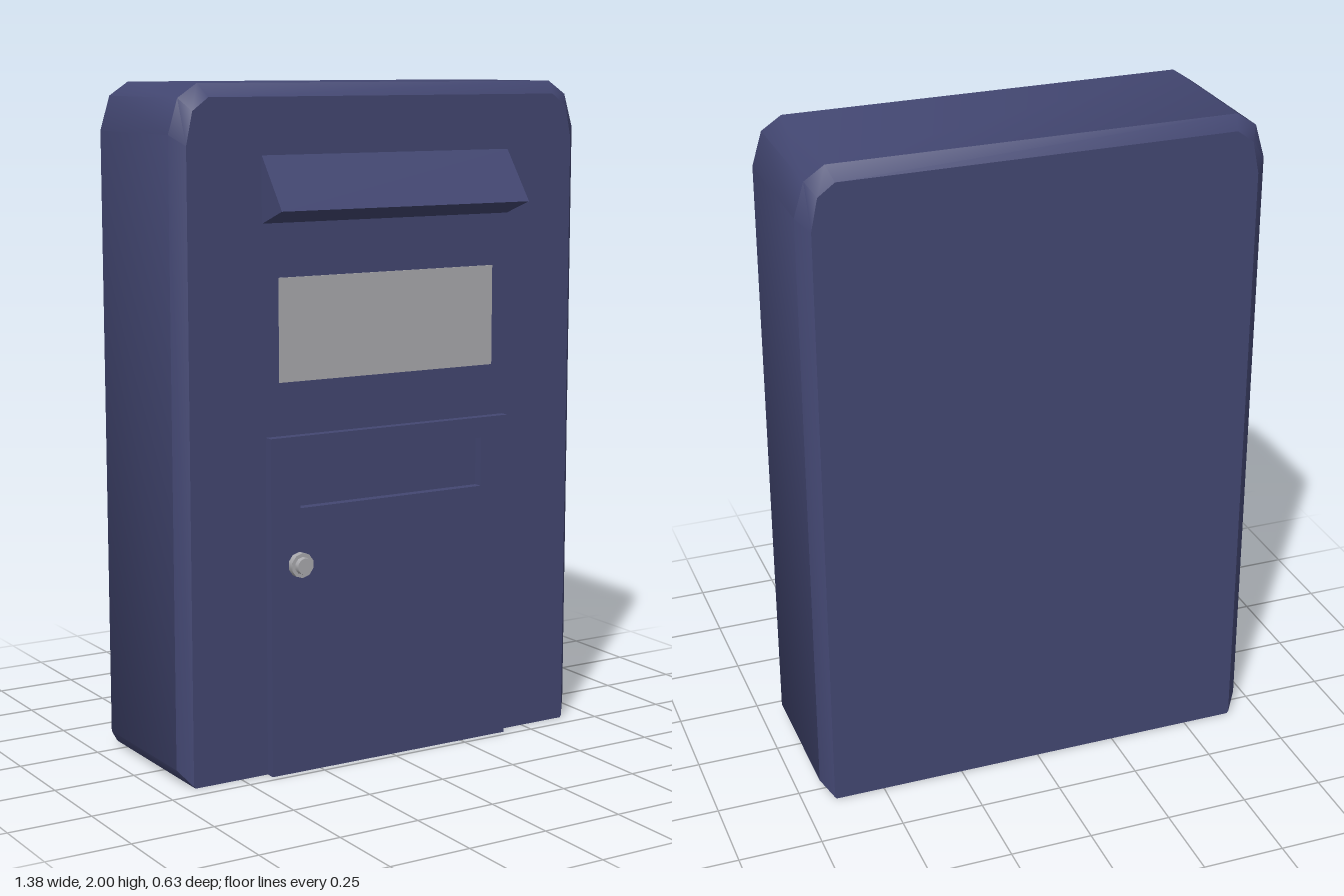
import * as THREE from 'three';
import { toCreasedNormals } from 'three/addons/utils/BufferGeometryUtils.js';

const paint = new THREE.MeshStandardMaterial({ name: 'navy paint', color: 0x434772 });
const steel = new THREE.MeshStandardMaterial({ name: 'light grey', color: 0xaaaaae });

function add(group, name, geometry, material, x = 0, y = 0, z = 0) {
  const mesh = new THREE.Mesh(geometry, material);
  mesh.name = name;
  mesh.position.set(x, y, z);
  group.add(mesh);
  return mesh;
}

// Full outline from its right half, counter-clockwise seen from the front
const mirrored = (half) => [...half, ...half.map(([x, y]) => [-x, y]).reverse()];

// Closed solid through matching outlines at rising z
function loft(sections) {
  const n = sections[0].points.length;
  const positions = [];
  const index = [];
  for (const { z, points } of sections) for (const [x, y] of points) positions.push(x, y, z);
  for (let k = 0; k < sections.length - 1; k++) {
    for (let i = 0; i < n; i++) {
      const j = (i + 1) % n;
      const a = k * n + i, b = k * n + j;
      index.push(a, b, b + n, a, b + n, a + n);
    }
  }
  // End caps
  const last = (sections.length - 1) * n;
  const back = positions.length / 3;
  positions.push(0, 1, sections[0].z, 0, 1, sections[sections.length - 1].z);
  for (let i = 0; i < n; i++) {
    const j = (i + 1) % n;
    index.push(back, j, i, back + 1, last + i, last + j);
  }
  const geometry = new THREE.BufferGeometry();
  geometry.setAttribute('position', new THREE.Float32BufferAttribute(positions, 3));
  geometry.setIndex(index);
  return toCreasedNormals(geometry, 0.72);
}

function rectangle(target, x0, y0, x1, y1) {
  target.moveTo(x0, y0);
  target.lineTo(x1, y0);
  target.lineTo(x1, y1);
  target.lineTo(x0, y1);
  target.closePath();
  return target;
}

export function createModel() {
  const model = new THREE.Group();
  model.name = 'letterbox';

  // Case with bevelled front and back edges, rounded at the top corners
  const outer = mirrored([[0.65, 0], [0.69, 0.05], [0.69, 1.86], [0.66, 1.96], [0.6, 2]]);
  const inner = mirrored([[0.65, 0], [0.655, 0.006], [0.655, 1.83], [0.635, 1.925], [0.585, 1.962]]);
  add(model, 'case', loft([
    { z: -0.315, points: inner },
    { z: -0.275, points: outer },
    { z: 0.158, points: outer },
    { z: 0.198, points: inner },
  ]), paint);

  // Wedge-shaped hood over the slot: profile in (-z, y), turned to run along x
  const wedge = new THREE.Shape([[-0.19, 1.8], [-0.2, 1.8], [-0.312, 1.65], [-0.2, 1.61], [-0.19, 1.61]]
    .map(([x, y]) => new THREE.Vector2(x, y)));
  const hood = new THREE.ExtrudeGeometry(wedge, { depth: 0.84, bevelEnabled: false });
  hood.translate(0, 0, -0.42).rotateY(Math.PI / 2);
  add(model, 'slotHood', hood, paint);

  // Name plate
  add(model, 'namePlate', new THREE.BoxGeometry(0.735, 0.3, 0.006), steel, 0, 1.305, 0.199);

  // Door with a sunken grip
  const doorShape = rectangle(new THREE.Shape(), -0.412, 0, 0.412, 1);
  doorShape.holes.push(rectangle(new THREE.Path(), -0.315, 0.79, 0.315, 0.938));
  add(model, 'door', new THREE.ExtrudeGeometry(doorShape, { depth: 0.032, bevelEnabled: false }), paint, 0, 0, 0.195);

  // Lock: collar and smaller barrel
  const lock = new THREE.Group();
  lock.name = 'lock';
  lock.position.set(-0.32, 0.625, 0.225);
  lock.rotation.x = Math.PI / 2;
  add(lock, 'lockCollar', new THREE.CylinderGeometry(0.037, 0.037, 0.022, 10), steel, 0, 0.011, 0);
  add(lock, 'lockBarrel', new THREE.CylinderGeometry(0.024, 0.026, 0.014, 10), steel, 0, 0.029, 0);
  model.add(lock);

  return model;
}
